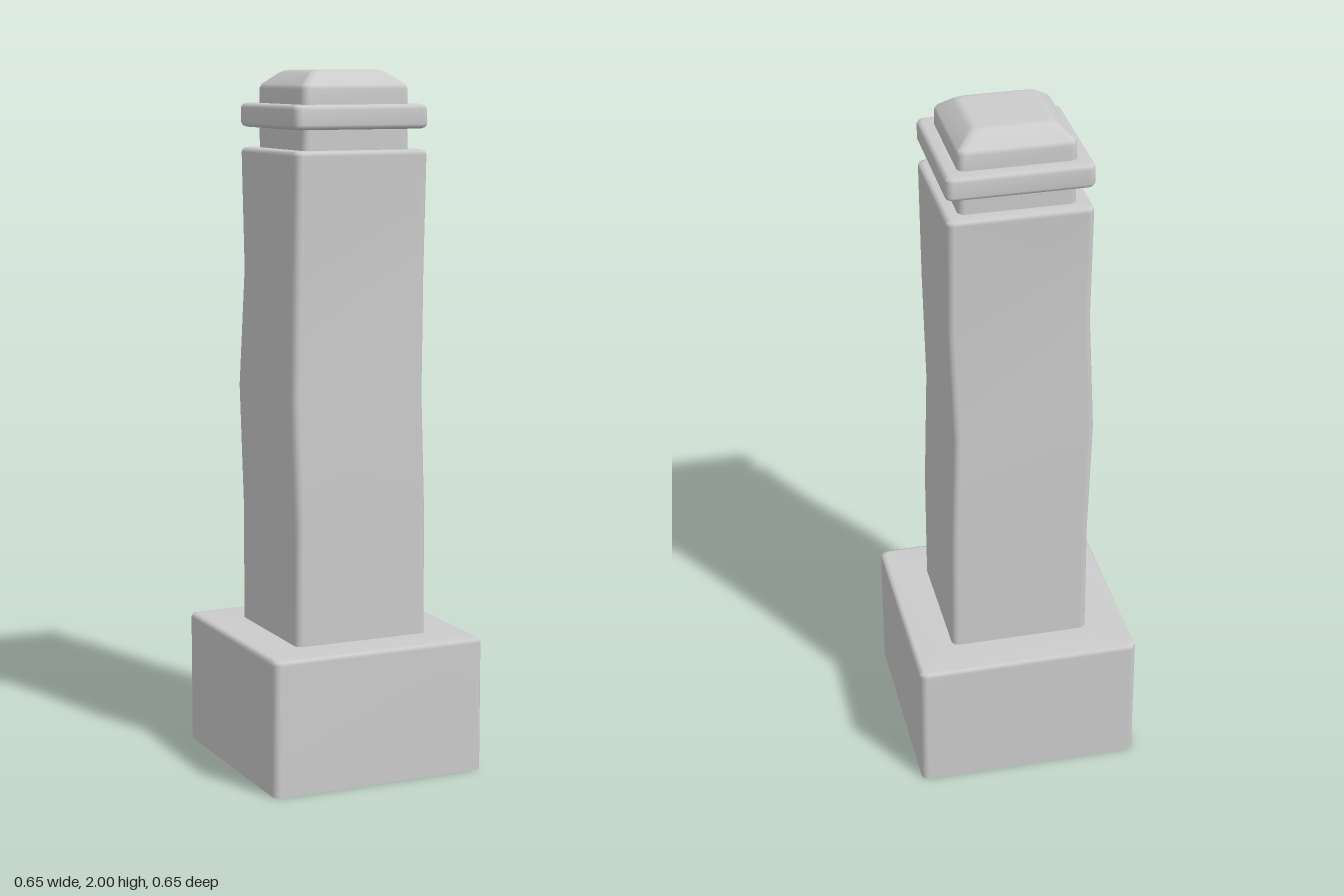
import * as THREE from 'three';

const CORNER_STEPS = 3;

// Outline of a rounded square, as [x, z] pairs
function roundedSquare(hx, hz, radius) {
  const r = Math.min(radius, hx, hz);
  const points = [];
  for (let c = 0; c < 4; c++) {
    const sx = c === 0 || c === 3 ? 1 : -1;
    const sz = c < 2 ? 1 : -1;
    for (let k = 0; k <= CORNER_STEPS; k++) {
      const a = (c + k / CORNER_STEPS) * Math.PI / 2;
      points.push([sx * (hx - r) + r * Math.cos(a), sz * (hz - r) + r * Math.sin(a)]);
    }
  }
  return points;
}

// Skin through rings listed as [y, halfX, halfZ, shiftX, shiftZ]
function loft(name, rings, material, radius = 0.02) {
  const positions = [];
  const index = [];
  const n = 4 * (CORNER_STEPS + 1);
  rings.forEach(([y, hx, hz = hx, dx = 0, dz = 0], row) => {
    for (const [x, z] of roundedSquare(hx, hz, radius)) positions.push(x + dx, y, z + dz);
    if (row === 0) return;
    for (let i = 0; i < n; i++) {
      const j = (i + 1) % n;
      const a = (row - 1) * n + i, b = (row - 1) * n + j;
      index.push(a, a + n, b, b, a + n, b + n);
    }
  });
  const geometry = new THREE.BufferGeometry();
  geometry.setAttribute('position', new THREE.Float32BufferAttribute(positions, 3));
  geometry.setIndex(index);
  geometry.computeVertexNormals();
  const mesh = new THREE.Mesh(geometry, material);
  mesh.name = name;
  return mesh;
}

export function createModel() {
  const group = new THREE.Group();
  group.name = 'stonePost';
  const stone = new THREE.MeshStandardMaterial({ color: 0xcccccc, side: THREE.DoubleSide });

  group.add(
    // Hollow plinth, open underneath
    loft('plinth', [
      [0, 0.325], [0.376, 0.325], [0.386, 0.321], [0.39, 0.311], [0.39, 0.203],
    ], stone),

    // Worn shaft: bulges to -x halfway, pinched in z higher up
    loft('shaft', [
      [0.39, 0.203], [0.74, 0.203],
      [1.09, 0.203, 0.203, -0.011, 0],
      [1.43, 0.202, 0.189, 0, 0.001],
      [1.766, 0.203], [1.776, 0.2], [1.78, 0.19], [1.78, 0.163],
    ], stone),

    // Recessed neck
    loft('neck', [[1.78, 0.163], [1.838, 0.163]], stone),

    // Projecting collar
    loft('collar', [
      [1.838, 0.163], [1.838, 0.191], [1.842, 0.2], [1.851, 0.204],
      [1.893, 0.204], [1.902, 0.2], [1.906, 0.191], [1.906, 0.163],
    ], stone),

    // Bevelled cap
    loft('cap', [
      [1.906, 0.163], [1.948, 0.163], [1.96, 0.158],
      [1.991, 0.121], [1.998, 0.11], [2, 0.098], [2, 0],
    ], stone),
  );
  return group;
}
